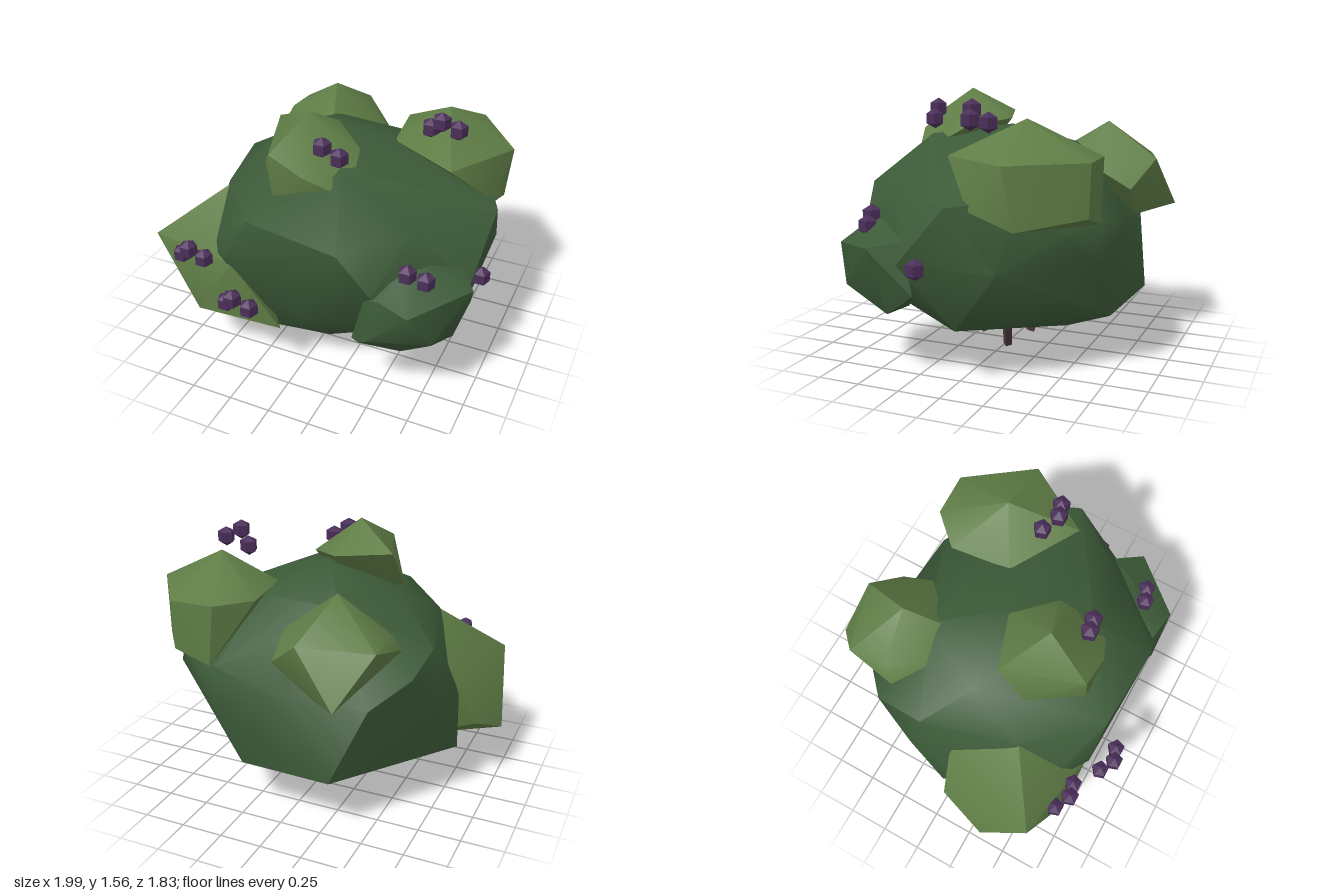
import * as THREE from 'three';
import { toCreasedNormals } from 'three/addons/utils/BufferGeometryUtils.js';
import { ConvexGeometry } from 'three/addons/geometries/ConvexGeometry.js';

const mat = (name, color, flatShading = false) => {
  const m = new THREE.MeshStandardMaterial({ color, flatShading });
  m.name = name;
  return m;
};

// Faceted leaf clump: convex hull of a few corners, smooth across shallow edges
function clump(name, material, corners, crease = 0.75) {
  const hull = new ConvexGeometry(corners.map(p => new THREE.Vector3(...p)));
  const mesh = new THREE.Mesh(toCreasedNormals(hull, crease), material);
  mesh.name = name;
  return mesh;
}

export function createModel() {
  const root = new THREE.Group();
  root.name = 'berryBush';
  const darkLeaf = mat('dark leaf green', 0x3c5a38);
  const lightLeaf = mat('light leaf green', 0x5f7d46);
  const berryMat = mat('berry purple', 0x4b2f5a, true);
  const barkMat = mat('bark brown', 0x4a3a38, true);

  // Main foliage
  root.add(clump('mainFoliage', darkLeaf, [
    // underside
    [-0.40, 0.18, 0.20], [-0.25, 0.18, -0.38], [0.15, 0.18, -0.42], [0.39, 0.18, 0.05], [0.13, 0.18, 0.45], [-0.25, 0.18, 0.50],
    // lower ring
    [0.83, 0.31, -0.01], [0.26, 0.31, -0.71], [-0.31, 0.34, -0.77], [-0.82, 0.31, -0.03],
    [0.60, 0.37, 0.43], [0.05, 0.45, 0.69], [-0.45, 0.40, 0.58],
    // middle ring
    [0.92, 0.67, 0.29], [0.91, 0.67, -0.29], [0.44, 0.65, -0.71], [0.66, 0.85, -0.58], [0.04, 0.80, -0.75], [0.41, 0.88, -0.70],
    [-0.50, 0.78, -0.68], [-0.77, 0.67, -0.26], [-0.79, 0.64, 0.05], [-0.60, 0.70, 0.58], [-0.38, 0.78, 0.74], [0.50, 0.76, 0.73],
    // upper ring
    [0.96, 1.01, -0.02], [0.32, 1.00, 0.77], [-0.23, 1.06, 0.74], [-0.70, 0.99, -0.20],
    [-0.68, 0.92, -0.50], [-0.56, 1.03, 0.34], [0.62, 1.03, 0.43], [0.80, 1.05, -0.35],
    // crown
    [0.19, 1.29, 0.43], [0.40, 1.22, 0.22], [0.02, 1.35, -0.02], [-0.42, 1.19, 0.02], [-0.22, 1.22, -0.40], [0.30, 1.22, -0.35],
  ]));

  // Smaller clumps pushed into the main foliage
  root.add(clump('frontRightClump', lightLeaf, [
    [-1.00, 0.30, 0.34], [-0.92, 0.73, 0.62], [-0.52, 1.04, 0.34], [-0.36, 0.73, 0.72], [-0.60, 0.34, 0.72],
    [-0.10, 0.29, 0.64], [-0.52, 0.15, 0.34], [-0.91, 0.45, 0.04], [-0.72, 0.82, 0.00],
  ]));
  root.add(clump('crownClump', lightLeaf, [
    [-0.06, 1.55, 0.28], [-0.33, 1.40, 0.11], [-0.01, 1.38, 0.00], [0.21, 1.34, 0.20], [0.23, 1.28, 0.30],
    [0.17, 1.23, 0.52], [0.03, 1.30, 0.57], [-0.17, 1.39, 0.56], [-0.15, 1.15, 0.57], [-0.35, 1.17, 0.28], [0.00, 1.10, 0.25],
  ]));
  root.add(clump('backRightClump', lightLeaf, [
    [-0.26, 1.36, -0.53], [-0.56, 1.16, -0.50], [-0.60, 1.06, -0.44], [-0.42, 1.12, -0.30], [-0.19, 1.22, -0.31],
    [0.05, 1.12, -0.54], [0.03, 1.00, -0.75], [-0.16, 1.16, -0.85], [-0.40, 0.86, -0.92], [-0.56, 1.14, -0.73], [-0.20, 0.81, -0.72],
  ]));
  root.add(clump('backLeftClump', lightLeaf, [
    [0.56, 1.44, -0.32], [0.70, 1.24, 0.08], [0.95, 1.24, -0.33], [0.67, 1.24, -0.71], [0.41, 1.24, -0.70],
    [0.24, 1.24, -0.52], [0.28, 1.24, -0.16], [0.91, 0.99, -0.13], [0.91, 0.90, -0.38], [0.67, 0.95, -0.70], [0.45, 0.88, -0.70],
  ]));
  root.add(clump('frontLeftClump', darkLeaf, [
    [0.98, 0.76, 0.44], [0.86, 0.78, 0.28], [0.74, 0.87, 0.46], [0.62, 0.85, 0.57], [0.55, 0.76, 0.74],
    [0.72, 0.71, 0.76], [0.43, 0.43, 0.72], [0.50, 0.50, 0.77], [0.83, 0.50, 0.66], [0.62, 0.30, 0.55],
    [0.87, 0.37, 0.38], [0.55, 0.32, 0.42], [0.36, 0.39, 0.65], [0.91, 0.50, 0.20], [0.46, 0.73, 0.72],
  ]));

  // Berries: five-sided beads with a flat side to the front
  const bead = new THREE.SphereGeometry(0.06, 5, 3).rotateY(-Math.PI / 2);
  const bunches = {
    crownBerries: [[0.09, 1.435, 0.44], [0.18, 1.38, 0.42]],
    backLeftBerries: [[0.52, 1.405, -0.08], [0.60, 1.48, -0.02], [0.69, 1.435, -0.05]],
    frontLeftBerries: [[0.65, 0.87, 0.59], [0.745, 0.83, 0.56]],
    sideBerry: [[0.945, 0.665, 0.16]],
    frontRightBerries: [[-0.70, 0.69, 0.69], [-0.62, 0.77, 0.74], [-0.535, 0.72, 0.72]],
    frontBerries: [[-0.34, 0.54, 0.82], [-0.27, 0.615, 0.87], [-0.18, 0.56, 0.845]],
  };
  for (const [name, spots] of Object.entries(bunches)) {
    const bunch = new THREE.Group();
    bunch.name = name;
    for (const p of spots) {
      const berry = new THREE.Mesh(bead, berryMat);
      berry.name = 'berry';
      berry.position.set(...p);
      bunch.add(berry);
    }
    root.add(bunch);
  }

  // Splayed stems, from the ground up into the foliage
  const stems = [
    [[-0.14, 0.005, -0.07], [-0.24, 0.27, -0.13]],
    [[-0.035, 0.005, 0.19], [-0.055, 0.27, 0.32]],
    [[0.135, 0.005, -0.03], [0.245, 0.27, -0.07]],
  ];
  for (const [a, b] of stems) {
    const foot = new THREE.Vector3(...a), dir = new THREE.Vector3(...b).sub(foot);
    const stem = new THREE.Mesh(new THREE.CylinderGeometry(0.032, 0.028, dir.length(), 4), barkMat);
    stem.name = 'stem';
    stem.position.copy(foot).addScaledVector(dir, 0.5);
    stem.quaternion.setFromUnitVectors(new THREE.Vector3(0, 1, 0), dir.normalize());
    root.add(stem);
  }
  return root;
}
